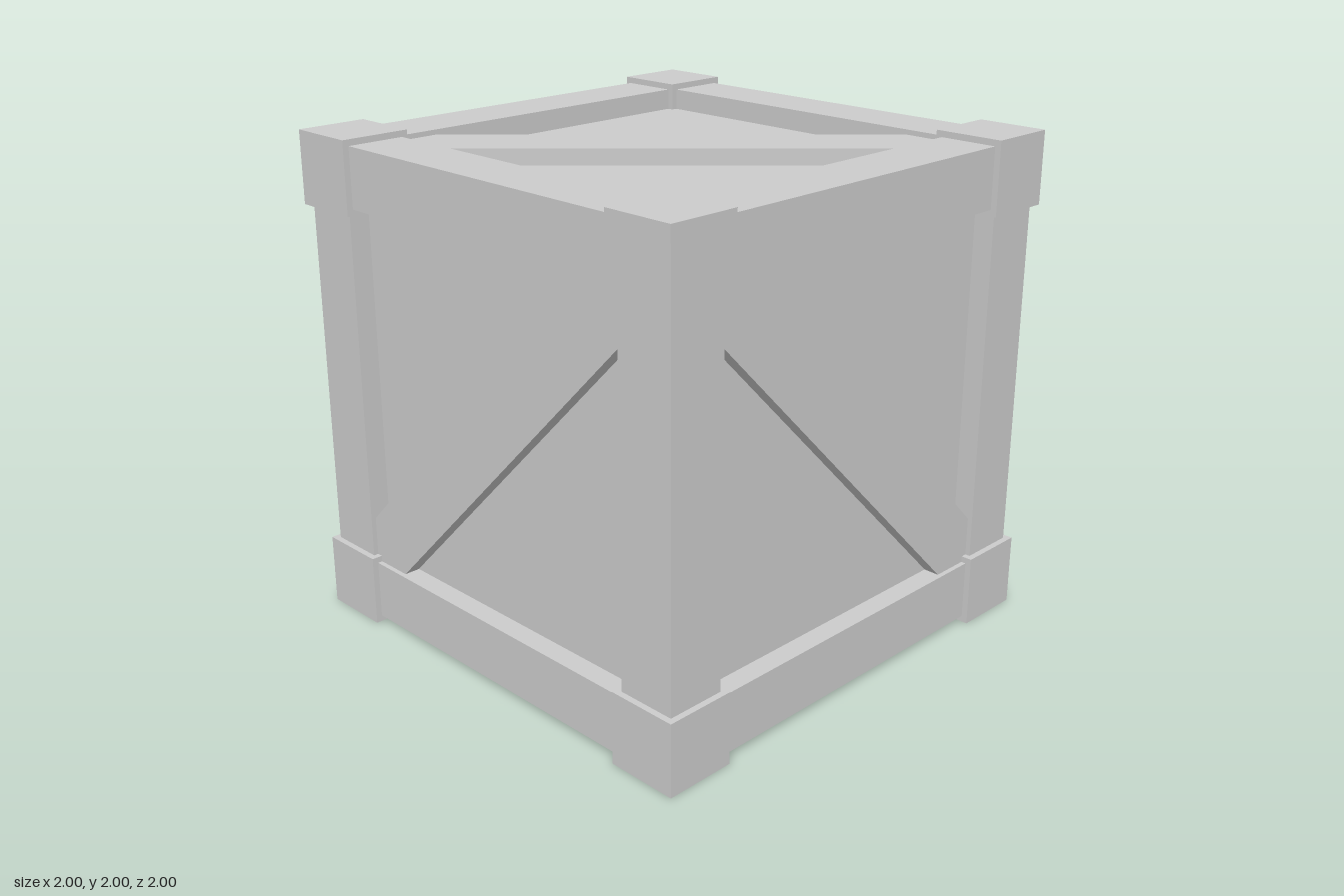
import * as THREE from 'three';

export function createModel() {
  const crate = new THREE.Group();
  crate.name = 'crate';
  const material = new THREE.MeshStandardMaterial({ color: 0xcccccc, flatShading: true });

  const body = new THREE.Group();
  body.name = 'body';
  body.position.y = 1;
  crate.add(body);

  function box(name, size, position) {
    const mesh = new THREE.Mesh(new THREE.BoxGeometry(...size), material);
    mesh.name = name;
    mesh.position.set(...position);
    body.add(mesh);
    return mesh;
  }

  // Recessed panels, as one inner box
  const panel = 0.89;
  box('panels', [2 * panel, 2 * panel, 2 * panel], [0, 0, 0]);

  // Corner blocks
  const corner = 0.29, cornerAt = 1 - corner / 2;
  for (const x of [-1, 1]) for (const y of [-1, 1]) for (const z of [-1, 1]) {
    box('cornerBlock', [corner, corner, corner], [x * cornerAt, y * cornerAt, z * cornerAt]);
  }

  // Edge beams: four along each axis
  const beam = 0.24, beamAt = 0.855, beamLength = 1.5;
  for (let axis = 0; axis < 3; axis++) {
    for (const a of [-1, 1]) for (const b of [-1, 1]) {
      const size = [beam, beam, beam], position = [0, 0, 0];
      size[axis] = beamLength;
      position[(axis + 1) % 3] = a * beamAt;
      position[(axis + 2) % 3] = b * beamAt;
      box('edgeBeam', size, position);
    }
  }

  // Diagonal braces: one per face, parallel on opposite faces
  const length = 2.26, width = 0.262, depth = 0.1, braceAt = 0.955 - depth / 2;
  for (const s of [-1, 1]) {
    box('frontBackBrace', [length, width, depth], [0, 0, s * braceAt]).rotation.z = Math.PI / 4;
    box('sideBrace', [depth, width, length], [s * braceAt, 0, 0]).rotation.x = -Math.PI / 4;
    box('topBottomBrace', [length, depth, width], [0, s * braceAt, 0]).rotation.y = Math.PI / 4;
  }

  return crate;
}
